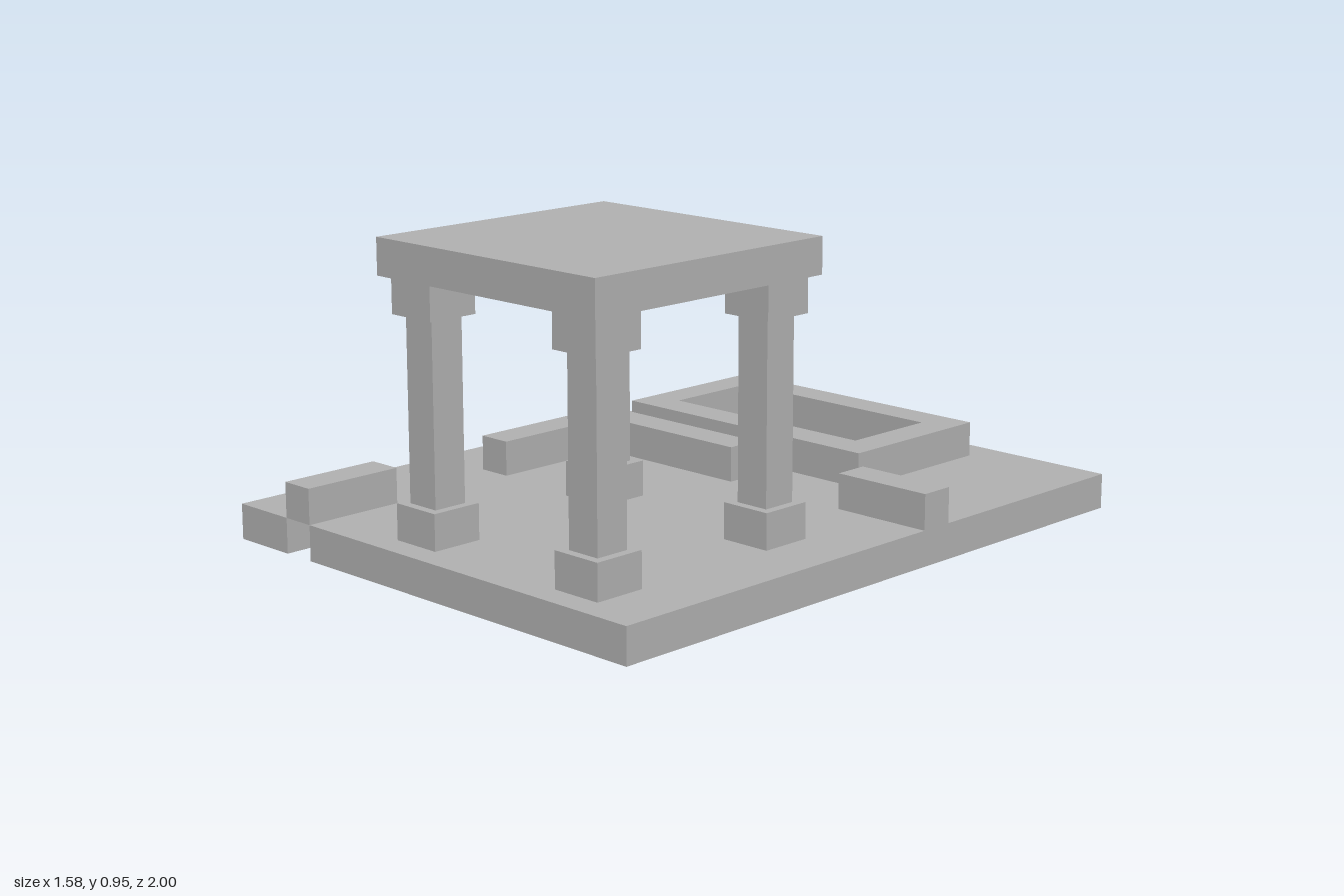
import * as THREE from 'three';

// One grid cell: the plan is 15 cells wide and 19 cells deep
const U = 2 / 19;
const X = (i) => (i - 7.5) * U; // i counts from the -x edge
const Z = (j) => (j - 9.5) * U; // j counts from the back edge

const stone = new THREE.MeshStandardMaterial({ color: 0xb2b2b2 });
stone.name = 'grey stone';

function add(parent, name, geometry) {
  const mesh = new THREE.Mesh(geometry, stone);
  mesh.name = name;
  parent.add(mesh);
  return mesh;
}

// Extrudes a plan outline (in cells) upward from level y0, one cell high
function slab(parent, name, outline, y0, hole) {
  const pts = (list) => list.map(([i, j]) => new THREE.Vector2(X(i), -Z(j)));
  const shape = new THREE.Shape(pts(outline));
  if (hole) shape.holes.push(new THREE.Path(pts(hole)));
  const g = new THREE.ExtrudeGeometry(shape, { depth: U, bevelEnabled: false });
  g.rotateX(-Math.PI / 2);
  g.translate(0, y0 * U, 0);
  return add(parent, name, g);
}

const rect = (i0, j0, i1, j1) => [[i0, j1], [i1, j1], [i1, j0], [i0, j0]];

// Box in cells, centred on (i, j) and standing on level y0
function block(parent, name, i, j, y0, w, h, d = w) {
  const mesh = add(parent, name, new THREE.BoxGeometry(w * U, h * U, d * U));
  mesh.position.set(X(i), (y0 + h / 2) * U, Z(j));
  return mesh;
}

export function createModel() {
  const model = new THREE.Group();
  model.name = 'ruinedPavilion';

  // Floor with a slot in its front edge, running under the front wall
  slab(model, 'floor', [
    [0, 19], [2, 19], [2, 16], [3, 16], [3, 19], [15, 19], [15, 0], [0, 0],
  ], 0);

  // Low walls
  slab(model, 'frontWall', rect(2, 16, 3, 19), 1);
  slab(model, 'sideWall', rect(12, 7, 15, 8), 1);
  slab(model, 'cornerWall', [[2, 12], [3, 12], [3, 8], [8, 8], [8, 7], [2, 7]], 1);

  // Rectangular basin rim
  slab(model, 'basinRim', rect(2, 1, 11, 6), 1, rect(3, 2, 10, 5));

  // Pavilion: four columns carrying a square roof
  const pavilion = new THREE.Group();
  pavilion.name = 'pavilion';
  model.add(pavilion);
  for (const i of [6.5, 12.5]) {
    for (const j of [11.5, 17.5]) {
      const column = new THREE.Group();
      column.name = 'column';
      pavilion.add(column);
      block(column, 'columnBase', i, j, 1, 1.5, 1);
      block(column, 'columnShaft', i, j, 2, 1, 5);
      block(column, 'columnCapital', i, j, 7, 1.5, 1);
    }
  }
  block(pavilion, 'roof', 9.5, 14.5, 8, 8, 1);

  return model;
}
